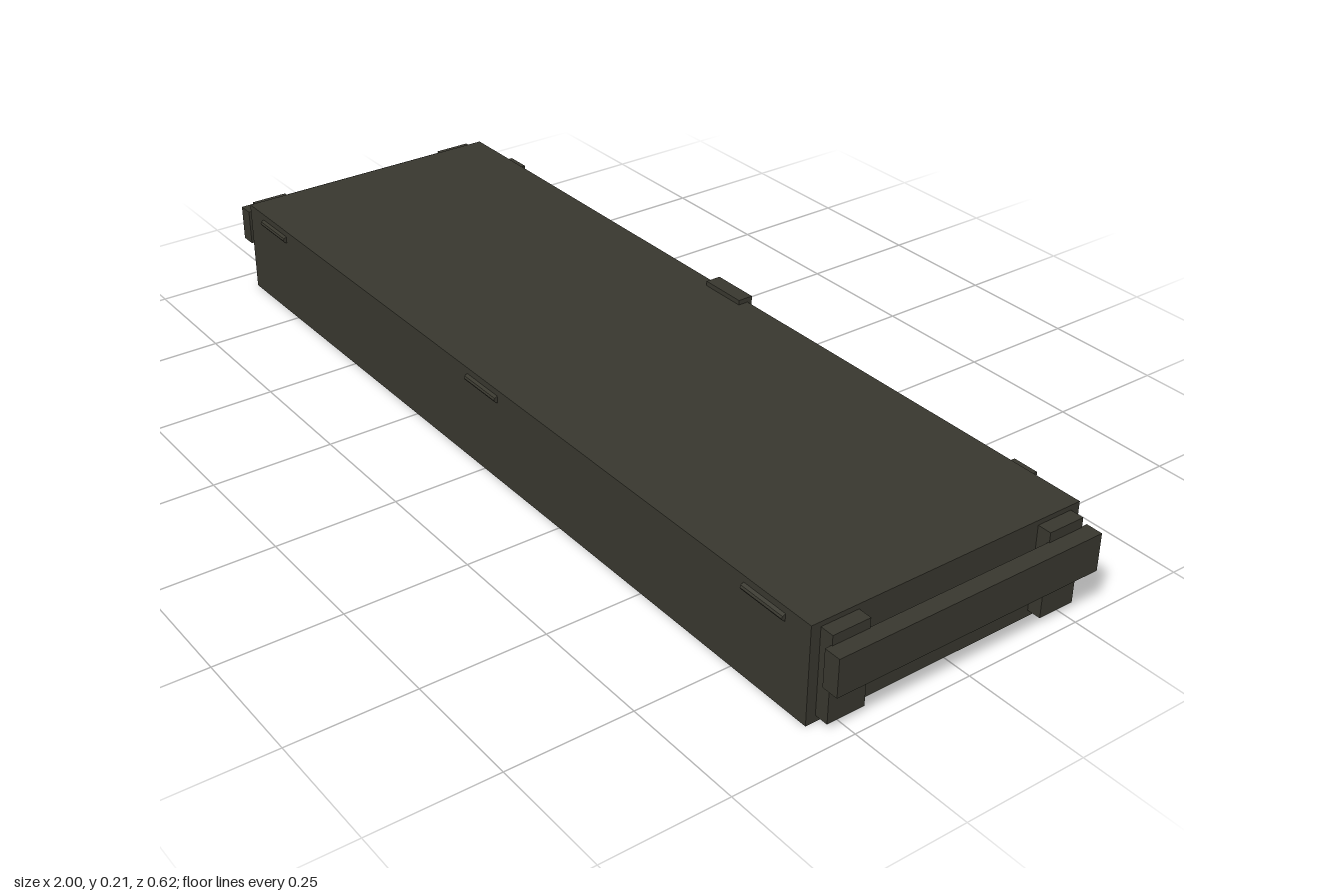
import * as THREE from 'three';

export function createModel() {
  const model = new THREE.Group();
  const olive = new THREE.MeshStandardMaterial({ color: 0x38372e });
  olive.name = 'dark olive';

  // Box given by its minimum and maximum corners
  function box(name, x0, x1, y0, y1, z0, z1, parent = model) {
    const mesh = new THREE.Mesh(new THREE.BoxGeometry(x1 - x0, y1 - y0, z1 - z0), olive);
    mesh.position.set((x0 + x1) / 2, (y0 + y1) / 2, (z0 + z1) / 2);
    mesh.name = name;
    parent.add(mesh);
    return mesh;
  }

  // Crate body
  box('crateBody', -0.94, 0.94, 0, 0.198, -0.293, 0.302);

  // End cleats with a carrying bar across them
  for (const side of [-1, 1]) {
    const end = new THREE.Group();
    end.name = side > 0 ? 'leftEndHandle' : 'rightEndHandle';
    const span = (a, b) => (side > 0 ? [a, b] : [-b, -a]);
    box('frontCleat', ...span(0.935, 0.968), 0.013, 0.188, 0.203, 0.282, end);
    box('backCleat', ...span(0.935, 0.968), 0.013, 0.188, -0.273, -0.195, end);
    box('carryingBar', ...span(0.966, 1), 0.092, 0.168, -0.287, 0.295, end);
    model.add(end);
  }

  // Hinge knuckles along the front, tapered outward
  const knuckle = new THREE.Shape([
    [0.298, 0.170], [0.302, 0.170], [0.308, 0.174], [0.310, 0.178], [0.308, 0.182], [0.302, 0.185], [0.298, 0.185],
  ].map(([z, y]) => new THREE.Vector2(-z, y)));
  for (const x of [-0.827, 0, 0.827]) {
    const geometry = new THREE.ExtrudeGeometry(knuckle, { depth: 0.104, bevelEnabled: false });
    geometry.translate(0, 0, -0.052).rotateY(Math.PI / 2);
    const hinge = new THREE.Mesh(geometry, olive);
    hinge.name = 'hinge';
    hinge.position.x = x;
    model.add(hinge);
  }

  // Hasp folded over the back top edge
  const hasp = new THREE.Group();
  hasp.name = 'hasp';
  box('haspTop', -0.052, 0.052, 0.196, 0.208, -0.304, -0.271, hasp);
  box('haspFlap', -0.052, 0.052, 0.145, 0.196, -0.304, -0.29, hasp);
  model.add(hasp);

  // Draw latches on the back
  for (const x of [-0.8, 0.8]) {
    const latch = new THREE.Group();
    latch.name = 'latch';
    latch.position.x = x;
    box('catch', -0.027, 0.027, 0.174, 0.192, -0.309, -0.29, latch);
    box('lever', -0.027, 0.027, 0.067, 0.097, -0.309, -0.29, latch);
    for (const s of [-1, 1]) box('loopSide', s * 0.018 - 0.005, s * 0.018 + 0.005, 0.097, 0.174, -0.304, -0.29, latch);
    model.add(latch);
  }

  return model;
}
